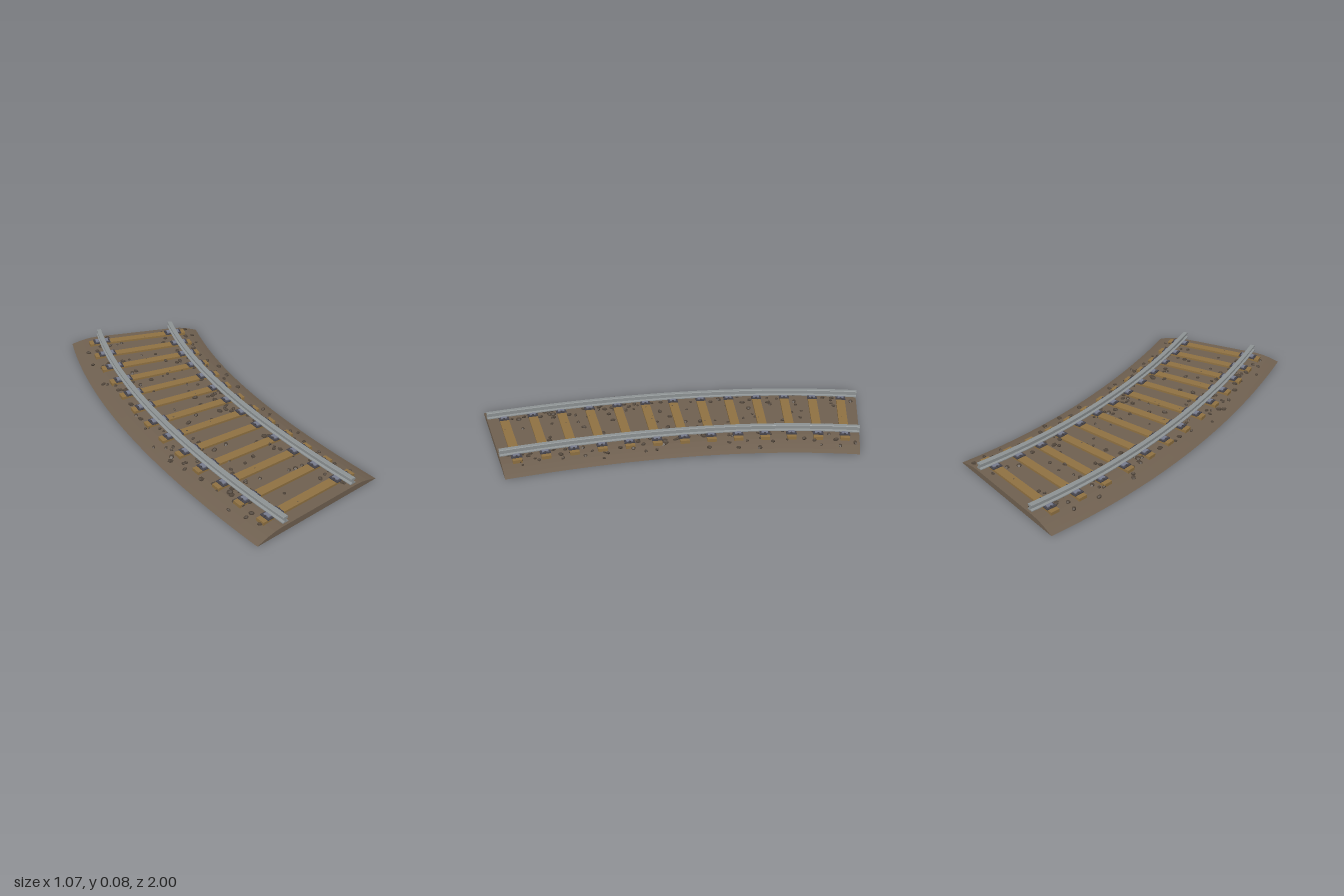
import * as THREE from 'three';
import { mergeGeometries } from 'three/addons/utils/BufferGeometryUtils.js';

const mat = (name, color) => {
  const m = new THREE.MeshStandardMaterial({ color });
  m.name = name;
  return m;
};

// centre line of the track, bending to the model's left
const path = new THREE.QuadraticBezierCurve(
  new THREE.Vector2(-0.165, 1), new THREE.Vector2(-0.165, -0.088), new THREE.Vector2(0.2, -0.84));
path.arcLengthDivisions = 400;

// point beside the centre line: s = 0..1 along, u = sideways, y = height
function trackPoint(s, u, y) {
  const p = path.getPointAt(s), t = path.getTangentAt(s);
  return new THREE.Vector3(p.x - t.y * u, y, p.y + t.x * u);
}

// sweep a closed counter-clockwise [u, y] profile along the track, with end caps
function sweep(profile, steps) {
  const pos = [];
  const tri = (...pts) => pts.forEach(p => pos.push(p.x, p.y, p.z));
  const ring = s => profile.map(([u, y]) => trackPoint(s, u, y));
  for (let i = 0; i < steps; i++) {
    const f = ring(i / steps), b = ring((i + 1) / steps);
    for (let k = 0; k < f.length; k++) {
      const n = (k + 1) % f.length;
      tri(f[k], b[k], b[n]);
      tri(f[k], b[n], f[n]);
    }
  }
  const faces = THREE.ShapeUtils.triangulateShape(profile.map(p => new THREE.Vector2(...p)), []);
  const first = ring(0), last = ring(1);
  for (const [a, b, c] of faces) {
    tri(first[a], first[b], first[c]);
    tri(last[a], last[c], last[b]);
  }
  const g = new THREE.BufferGeometry();
  g.setAttribute('position', new THREE.Float32BufferAttribute(pos, 3));
  g.computeVertexNormals();
  return g;
}

// mirror a right half profile (bottom to top) into a closed one
const mirrored = half => [...half, ...half.map(([u, y]) => [-u, y]).reverse()];

const bedHalf = [[0.37, 0.006], [0.345, 0.015], [0.31, 0.025], [0.27, 0.033], [0.23, 0.036]];
const railHalf = [[0.016, 0.051], [0.016, 0.055], [0.005, 0.059], [0.005, 0.07],
  [0.013, 0.073], [0.013, 0.08], [0.011, 0.082]];

// height of the gravel bed at sideways distance u
function bedHeight(u) {
  const a = Math.abs(u);
  for (let i = 0; i < bedHalf.length - 1; i++) {
    const [u0, y0] = bedHalf[i], [u1, y1] = bedHalf[i + 1];
    if (a >= u1) return y1 + (y0 - y1) * (a - u1) / (u0 - u1);
  }
  return 0.036;
}

function seeded(seed) {
  return () => {
    seed = (seed * 16807) % 2147483647;
    return seed / 2147483647;
  };
}

export function createModel() {
  const group = new THREE.Group();
  group.name = 'curvedTrack';
  const gravel = mat('gravel brown', 0x6f6050);
  const stone = mat('stone dark brown', 0x50453a);
  const wood = mat('sleeper wood', 0x8f7142);
  const steel = mat('rail steel', 0x8d9293);
  const iron = mat('plate iron', 0x45434a);
  const clipSteel = mat('clip steel', 0x777b8c);

  const add = (parent, name, geometry, material, x = 0, y = 0, z = 0) => {
    const m = new THREE.Mesh(geometry, material);
    m.name = name;
    m.position.set(x, y, z);
    parent.add(m);
    return m;
  };

  add(group, 'gravelBed', sweep(mirrored(bedHalf), 28), gravel);

  // two I-shaped rails
  for (const side of [-1, 1]) {
    const profile = mirrored(railHalf).map(([u, y]) => [u + side * 0.21, y]);
    add(group, side < 0 ? 'rightRail' : 'leftRail', sweep(profile, 28), steel);
  }

  // sleepers with base plates, clips and bolts
  const beam = new THREE.BoxGeometry(0.56, 0.022, 0.046);
  const plate = new THREE.BoxGeometry(0.092, 0.005, 0.052);
  const clip = new THREE.BoxGeometry(0.018, 0.006, 0.032);
  const bolt = new THREE.CylinderGeometry(0.005, 0.005, 0.006, 6);
  const count = 13, length = path.getLength();
  for (let i = 0; i < count; i++) {
    const s = (0.08 + (length - 0.16) * i / (count - 1)) / length;
    const t = path.getTangentAt(s);
    const sleeper = new THREE.Group();
    sleeper.name = 'sleeper';
    sleeper.position.copy(trackPoint(s, 0, 0));
    sleeper.rotation.y = Math.atan2(-t.x, -t.y);
    add(sleeper, 'beam', beam, wood, 0, 0.036, 0);
    for (const side of [-1, 1]) {
      add(sleeper, 'basePlate', plate, iron, side * 0.21, 0.0495, 0);
      for (const edge of [-1, 1]) {
        const x = side * 0.21 + edge * 0.027;
        add(sleeper, 'railClip', clip, clipSteel, x, 0.054, 0);
        add(sleeper, 'bolt', bolt, iron, x + edge * 0.013, 0.0545, 0);
      }
    }
    group.add(sleeper);
  }

  // loose stones, thickest around the rails
  const rand = seeded(4711);
  const stones = [];
  for (let i = 0; i < 300; i++) {
    const side = rand() < 0.45 ? -1 : 1;
    const u = rand() < 0.6 ? side * (0.13 + 0.17 * rand()) : (rand() * 2 - 1) * 0.34;
    const r = 0.007 + 0.007 * rand();
    const g = new THREE.DodecahedronGeometry(r, 0);
    g.scale(1.2, 0.65, 0.75 + 0.4 * rand());
    g.rotateZ((rand() - 0.5) * 0.8);
    g.rotateY(rand() * Math.PI * 2);
    const p = trackPoint(0.012 + 0.976 * rand(), u, bedHeight(u) + 0.003);
    g.translate(p.x, p.y, p.z);
    g.computeVertexNormals();
    stones.push(g);
  }
  add(group, 'looseStones', mergeGeometries(stones), stone);

  return group;
}
